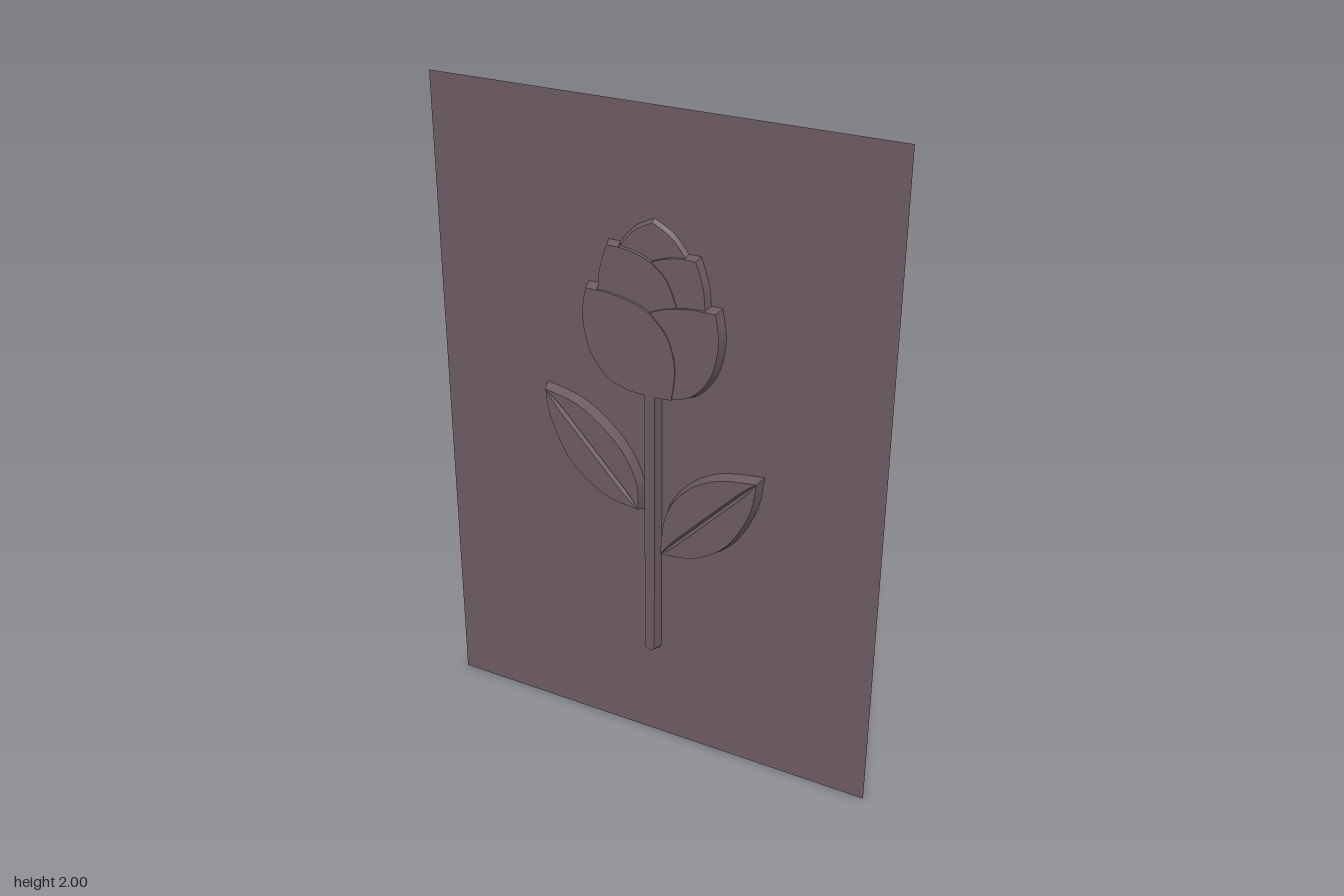
import * as THREE from 'three';

// Heights of the sheet and of each embossed terrace
const Z = { sheet: -0.016, top: -0.005, midR: 0.005, midL: 0.008, lowR: 0.013, lowL: 0.016, stem: 0.013, leaf: 0.016 };
const SLOPE = 0.009; // how far the outer walls spread towards the sheet

const material = new THREE.MeshStandardMaterial({ color: 0x6b5a61, flatShading: true, side: THREE.DoubleSide });

const V = (x, y) => new THREE.Vector2(x, y);
const line = (...p) => p.map(([x, y]) => V(x, y));
const curve = (n, ...p) => new THREE.SplineCurve(line(...p)).getPoints(n);
const mirror = pts => pts.map(p => V(-p.x, p.y));
const rev = pts => [...pts].reverse();
const same = (a, b) => a.distanceTo(b) < 1e-5;

// Chains curve pieces into one closed loop without repeated points
function join(...pieces) {
  const pts = pieces.flat().filter((p, i, a) => i === 0 || !same(p, a[i - 1]));
  if (same(pts[0], pts[pts.length - 1])) pts.pop();
  return pts;
}

// Pushes a counter-clockwise loop outwards, with limited mitres
function spread(loop, d) {
  const n = loop.length;
  const normal = (a, b) => V(b.y - a.y, a.x - b.x).normalize();
  return loop.map((p, i) => {
    const n1 = normal(loop[(i + n - 1) % n], p), n2 = normal(p, loop[(i + 1) % n]);
    const m = n1.clone().add(n2).normalize();
    return p.clone().addScaledVector(m, d / Math.max(0.6, m.dot(n1)));
  });
}

function add(group, name, geometry) {
  const mesh = new THREE.Mesh(geometry, material);
  mesh.name = name;
  group.add(mesh);
  return mesh;
}

// Flat face at height z
function cap(group, name, pts, z) {
  add(group, name, new THREE.ShapeGeometry(new THREE.Shape(pts))).position.z = z;
}

// Strip of wall between two rows of 3D points
function ribbon(group, name, a, b) {
  const pos = [], index = [];
  a.forEach((p, i) => {
    pos.push(p.x, p.y, p.z, b[i].x, b[i].y, b[i].z);
    if (i) index.push(2 * i - 2, 2 * i - 1, 2 * i, 2 * i, 2 * i - 1, 2 * i + 1);
  });
  const g = new THREE.BufferGeometry();
  g.setAttribute('position', new THREE.Float32BufferAttribute(pos, 3));
  g.setIndex(index);
  g.computeVertexNormals();
  add(group, name, g);
}

const lift = (pts, z) => pts.map(p => new THREE.Vector3(p.x, p.y, z));
const step = (group, name, pts, hi, lo) => ribbon(group, name, lift(pts, hi), lift(pts, lo));

// Sloping wall around a loop made of [points, height] pieces; returns the loop where it meets the sheet
function outerWall(group, name, pieces) {
  const loop = join(...pieces.map(p => p[0])), base = spread(loop, SLOPE);
  const upper = [], lower = [];
  for (const [pts, z] of pieces) for (const p of pts) {
    const q = base[loop.findIndex(l => same(l, p))];
    upper.push(new THREE.Vector3(p.x, p.y, z));
    lower.push(new THREE.Vector3(q.x, q.y, Z.sheet));
  }
  ribbon(group, name, upper, lower);
  return base;
}

// Flower head and stem, as one continuous relief
function makeFlower(root) {
  const g = new THREE.Group();
  g.name = 'flower';
  root.add(g);

  // Right-hand edges; the left ones are mirrored
  const R = {
    stem: line([0, 0.318], [0.007, 0.319], [0.013, 0.323], [0.016, 0.33], [0.016, 1.178]),
    sideA: curve(18, [0.2, 1.465], [0.211, 1.38], [0.19, 1.28], [0.135, 1.208], [0.07, 1.182]),
    sideB: curve(3, [0.07, 1.182], [0.045, 1.179], [0.016, 1.178]),
    lowTip: line([0.2, 1.465], [0.165, 1.465]),
    lowA: curve(4, [0.165, 1.465], [0.125, 1.464], [0.08, 1.457]),
    lowB: curve(5, [0.08, 1.457], [0.04, 1.447], [0, 1.43]),
    midSide: curve(7, [0.165, 1.465], [0.158, 1.53], [0.135, 1.6]),
    midTip: line([0.135, 1.6], [0.1, 1.6]),
    midEdge: curve(6, [0.1, 1.6], [0.05, 1.593], [0, 1.575]),
    top: curve(7, [0.1, 1.6], [0.055, 1.652], [0, 1.682]),
  };
  const L = Object.fromEntries(Object.entries(R).map(([k, p]) => [k, mirror(p)]));
  const foldLow = curve(12, [0, 1.43], [0.055, 1.37], [0.08, 1.28], [0.07, 1.182]);
  const foldMid = curve(8, [0, 1.575], [0.05, 1.53], [0.08, 1.457]);

  // Petal and stem faces
  cap(g, 'stem', join(R.stem, rev(L.stem)), Z.stem);
  cap(g, 'lowerLeftPetal', join(foldLow, R.sideB, rev(L.sideB), rev(L.sideA), L.lowTip, L.lowA, L.lowB), Z.lowL);
  cap(g, 'lowerRightPetal', join(foldLow, rev(R.sideA), R.lowTip, R.lowA, R.lowB), Z.lowR);
  cap(g, 'middleLeftPetal', join(rev(L.midEdge), rev(L.midTip), rev(L.midSide), L.lowA, L.lowB, rev(R.lowB), rev(foldMid)), Z.midL);
  cap(g, 'middleRightPetal', join(foldMid, rev(R.lowA), R.midSide, R.midTip, R.midEdge), Z.midR);
  cap(g, 'topPetal', join(R.top, rev(L.top), L.midEdge, rev(R.midEdge)), Z.top);

  // Steps between neighbouring petals
  step(g, 'lowerFold', foldLow, Z.lowL, Z.lowR);
  step(g, 'middleFold', foldMid, Z.midL, Z.midR);
  step(g, 'lowerLeftLip', join(L.lowA, L.lowB), Z.lowL, Z.midL);
  step(g, 'lowerRightLipInner', R.lowB, Z.lowR, Z.midL);
  step(g, 'lowerRightLipOuter', R.lowA, Z.lowR, Z.midR);
  step(g, 'middleLeftLip', L.midEdge, Z.midL, Z.top);
  step(g, 'middleRightLip', R.midEdge, Z.midR, Z.top);
  step(g, 'stemJoint', line([-0.016, 1.178], [0.016, 1.178]), Z.lowL, Z.stem);

  return outerWall(g, 'flowerWall', [
    [R.stem, Z.stem], [rev(R.sideB), Z.lowL], [rev(R.sideA), Z.lowR], [R.lowTip, Z.lowR],
    [R.midSide, Z.midR], [R.midTip, Z.midR], [R.top, Z.top],
    [rev(L.top), Z.top], [rev(L.midTip), Z.midL], [rev(L.midSide), Z.midL],
    [rev(L.lowTip), Z.lowL], [L.sideA, Z.lowL], [L.sideB, Z.lowL], [rev(L.stem), Z.stem],
  ]);
}

// Leaf with a tapering V-shaped midrib groove; both edges run from tip to base
function makeLeaf(root, name, upper, lower) {
  const g = new THREE.Group();
  g.name = name;
  root.add(g);
  const tip = upper[0], base = upper[upper.length - 1];
  const across = V(tip.y - base.y, base.x - tip.x).normalize();
  if (across.y < 0) across.negate();
  const rib = [], ribUp = [], ribDown = [];
  for (let i = 0; i <= 12; i++) {
    const t = i / 12, taper = Math.min(1, 8 * Math.min(t, 1 - t));
    const p = tip.clone().lerp(base, t);
    rib.push(new THREE.Vector3(p.x, p.y, Z.leaf - 0.014 * taper));
    ribUp.push(p.clone().addScaledVector(across, 0.008 * taper));
    ribDown.push(p.clone().addScaledVector(across, -0.008 * taper));
  }
  cap(g, 'upperBlade', join(upper, rev(ribUp)), Z.leaf);
  cap(g, 'lowerBlade', join(lower, rev(ribDown)), Z.leaf);
  ribbon(g, 'upperGroove', lift(ribUp, Z.leaf), rib);
  ribbon(g, 'lowerGroove', rib, lift(ribDown, Z.leaf));
  let loop = join(upper, rev(lower));
  if (THREE.ShapeUtils.area(loop) < 0) loop = rev(loop);
  return outerWall(g, 'leafWall', [[[...loop, loop[0]], Z.leaf]]);
}

export function createModel() {
  const root = new THREE.Group();
  root.name = 'embossedFlowerPanel';
  const openings = [
    makeFlower(root),
    makeLeaf(root, 'rightLeaf',
      curve(18, [-0.342, 1.122], [-0.22, 1.09], [-0.1, 0.995], [-0.042, 0.89], [-0.037, 0.802]),
      curve(18, [-0.342, 1.122], [-0.325, 1.03], [-0.26, 0.905], [-0.15, 0.823], [-0.037, 0.802])),
    makeLeaf(root, 'leftLeaf',
      curve(18, [0.338, 0.985], [0.22, 0.965], [0.125, 0.91], [0.055, 0.81], [0.037, 0.672]),
      curve(18, [0.338, 0.985], [0.318, 0.88], [0.25, 0.76], [0.15, 0.69], [0.037, 0.672])),
  ];

  // Thin sheet, open behind the raised relief
  const sheet = new THREE.Shape(line([-0.705, 0], [0.705, 0], [0.705, 2], [-0.705, 2]));
  sheet.holes = openings.map(pts => new THREE.Path(pts));
  add(root, 'sheet', new THREE.ShapeGeometry(sheet)).position.z = Z.sheet;
  return root;
}
